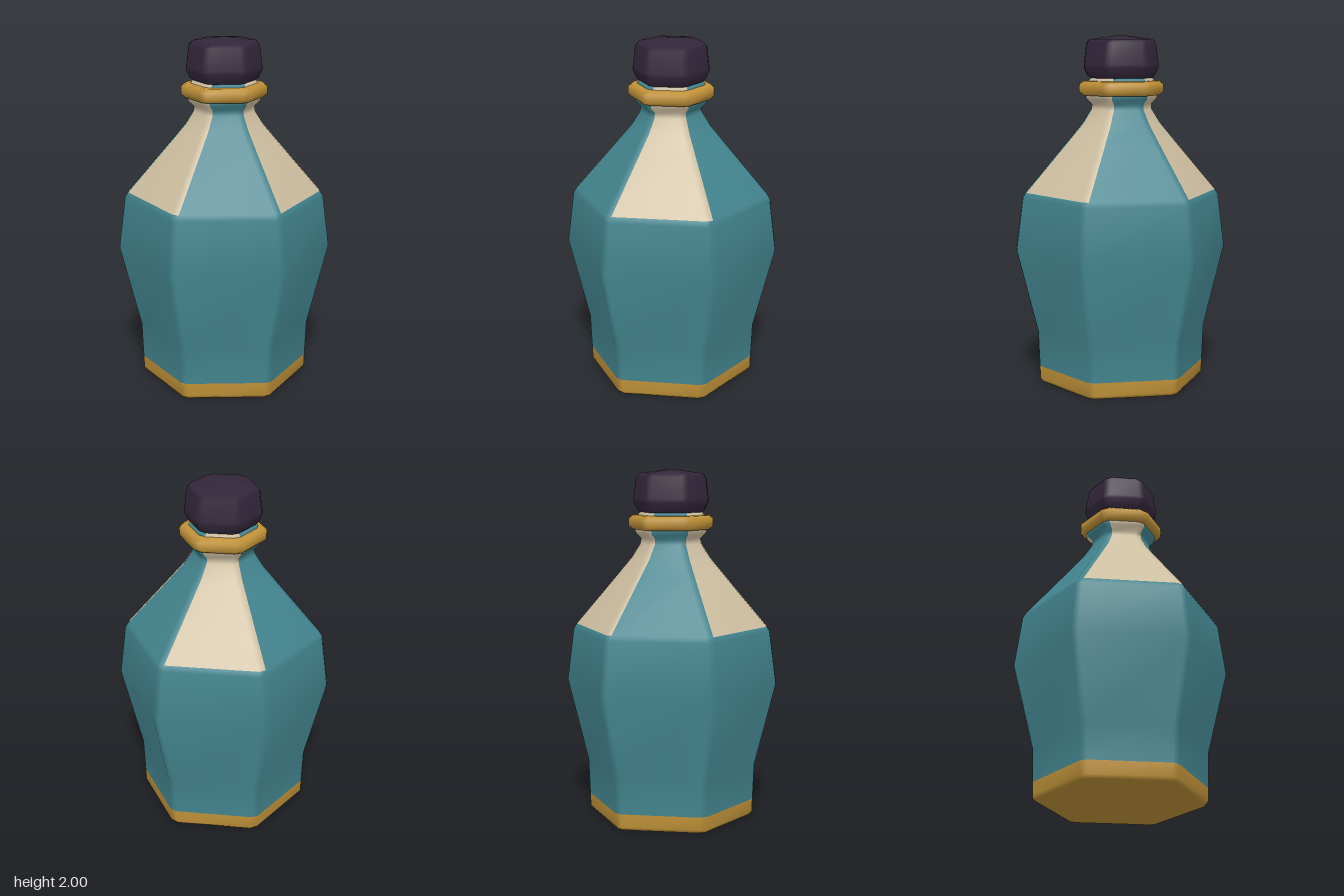
import * as THREE from 'three';

const material = (name, color) => {
  const m = new THREE.MeshStandardMaterial({ color });
  m.name = name;
  return m;
};

// Hexagonal solid with bevelled corners, from [apothem, y] rings, bottom to top.
// pick(ring, side) gives the material index; side 2k is the bevel of corner k
// (counted from +z towards +x) and side 2k+1 is the flat that follows it.
function hexSolid(name, profile, bevel, materials, pick = () => 0, tipY = null) {
  const pos = [];
  const faces = materials.map(() => []);
  for (const [apothem, y] of profile) {
    const r = apothem / Math.cos(Math.PI / 6) - bevel * Math.tan(Math.PI / 6);
    for (let k = 0; k < 6; k++) {
      const s = Math.sin(k * Math.PI / 3), c = Math.cos(k * Math.PI / 3);
      for (const h of [-bevel, bevel]) pos.push(s * r + c * h, y, c * r - s * h);
    }
  }
  const last = profile.length - 1;
  const bottom = pos.length / 3, top = bottom + 1;
  pos.push(0, profile[0][1], 0, 0, tipY ?? profile[last][1], 0);
  for (let j = 0; j < 12; j++) {
    const n = (j + 1) % 12;
    for (let i = 0; i < last; i++) {
      const a = i * 12 + j, b = i * 12 + n;
      faces[pick(i, j)].push(a, b, b + 12, a, b + 12, a + 12);
    }
    faces[pick(0, j)].push(bottom, n, j);
    faces[pick(last, j)].push(top, last * 12 + j, last * 12 + n);
  }
  const geo = new THREE.BufferGeometry();
  geo.setAttribute('position', new THREE.Float32BufferAttribute(pos, 3));
  geo.setIndex(faces.flat());
  let start = 0;
  faces.forEach((f, m) => {
    geo.addGroup(start, f.length, m);
    start += f.length;
  });
  geo.computeVertexNormals(); // area weighted, so the flats dominate the bevels
  const mesh = new THREE.Mesh(geo, materials);
  mesh.name = name;
  return mesh;
}

export function createModel() {
  const teal = material('teal glaze', 0x43858f);
  const cream = material('cream panel', 0xcfc0a2);
  const gold = material('gold trim', 0xc09238);
  const dark = material('dark stopper', 0x33263a);

  const group = new THREE.Group();
  group.name = 'bottle';

  // Body: gold foot, teal flanks, alternating cream shoulder panels
  const body = [
    [0.41, 0], [0.425, 0.02], [0.427, 0.095], [0.434, 0.3], [0.537, 0.78],
    [0.503, 1.08], [0.487, 1.11], [0.275, 1.4], [0.203, 1.5], [0.16, 1.58],
    [0.158, 1.61], [0.185, 1.64], [0.19, 1.67], [0.175, 1.74], [0.162, 1.757],
  ];
  group.add(hexSolid('body', body, 0.02, [teal, cream, gold], (ring, side) => {
    if (ring < 2) return 2;
    return ring >= 6 && (side % 4 === 3 || side % 4 === 0) ? 1 : 0;
  }));

  // Collar around the neck
  const collar = [[0.17, 1.66], [0.2, 1.66], [0.22, 1.68], [0.22, 1.72], [0.2, 1.74], [0.165, 1.742]];
  group.add(hexSolid('collar', collar, 0.022, [gold]));

  // Faceted stopper with a low peak
  const stopper = [[0.13, 1.74], [0.16, 1.757], [0.176, 1.77], [0.194, 1.815], [0.194, 1.835], [0.181, 1.955], [0.165, 1.975]];
  group.add(hexSolid('stopper', stopper, 0.02, [dark], undefined, 2));

  return group;
}
